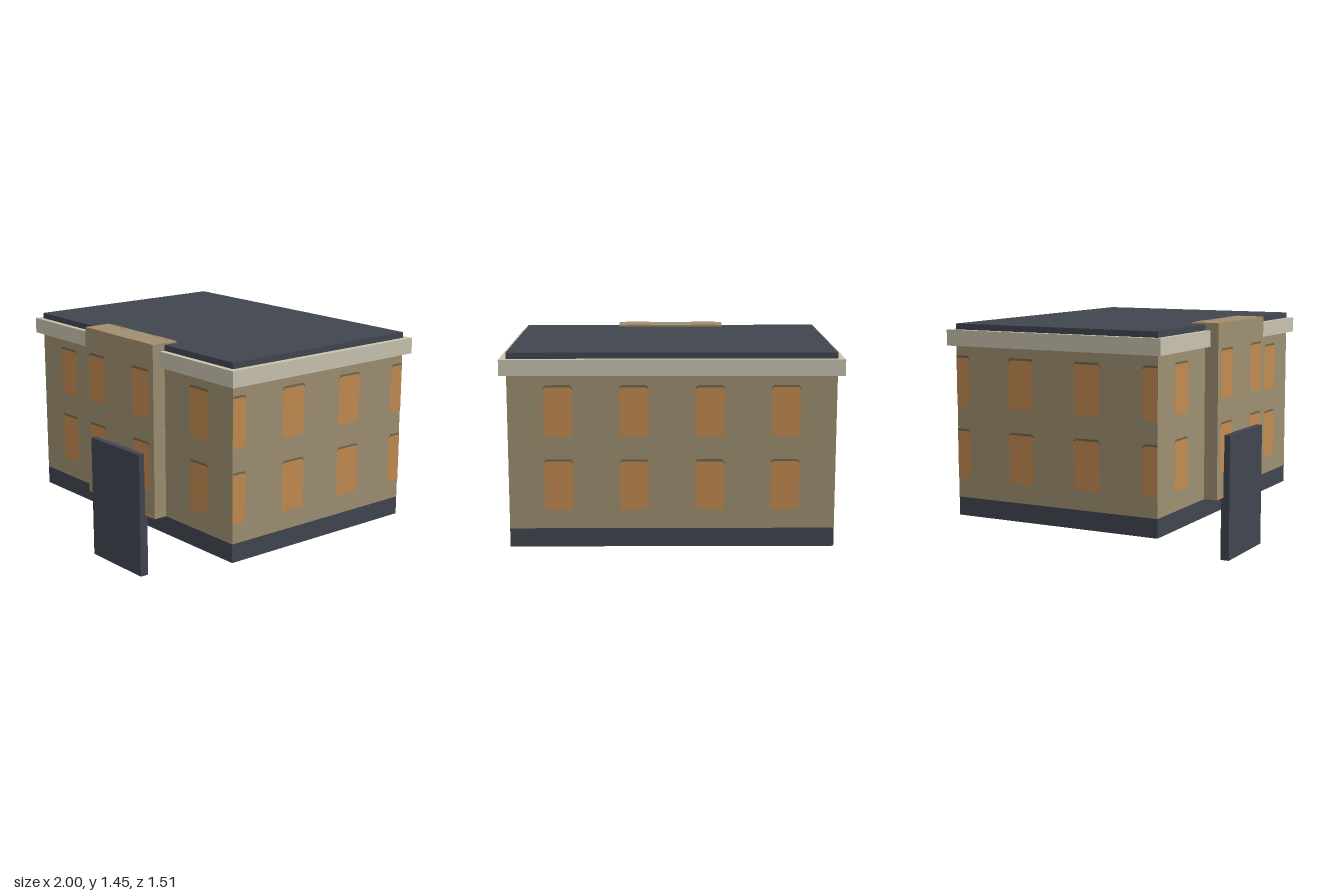
import * as THREE from 'three';

const mat = (name, color) => {
  const m = new THREE.MeshStandardMaterial({ color });
  m.name = name;
  return m;
};

export function createModel() {
  const stone = mat('tanWall', 0x9d8f71);
  const slate = mat('slate', 0x40454f);
  const trim = mat('paleTrim', 0xc8c2ae);
  const glow = mat('amberWindow', 0xc38a50);
  const shade = mat('windowHead', 0x73674c);

  const model = new THREE.Group();
  model.name = 'building';

  // Box given by its lower and upper limits on each axis
  function box(name, material, [x0, x1], [y0, y1], [z0, z1], parent = model) {
    const mesh = new THREE.Mesh(new THREE.BoxGeometry(x1 - x0, y1 - y0, z1 - z0), material);
    mesh.position.set((x0 + x1) / 2, (y0 + y1) / 2, (z0 + z1) / 2);
    mesh.name = name;
    parent.add(mesh);
  }

  const W = 0.96, BACK = -0.715, FRONT = 0.63, PORCH = 0.715;
  box('plinth', slate, [-W, W], [0.275, 0.387], [BACK, FRONT]);
  box('walls', stone, [-W, W], [0.387, 1.305], [BACK, FRONT]);
  box('cornice', trim, [-1, 1], [1.305, 1.4], [-0.755, 0.665]);
  box('roof', slate, [-W, W], [1.4, 1.435], [BACK, FRONT]);
  box('entranceBay', stone, [-0.345, 0.345], [0.387, 1.445], [0.54, PORCH]);
  box('door', slate, [-0.25, 0.25], [0, 0.77], [0.7, 0.755]);

  // Flat window with clipped corners; u runs along the wall, cut to [lo, hi]
  const HALF = 0.084, CUT = 0.012, HEIGHT = 0.29, HEAD = 0.013;
  function windowShapes(u, lo, hi) {
    const a = Math.max(u - HALF, lo), b = Math.min(u + HALF, hi);
    const ca = a > u - HALF ? 0 : CUT, cb = b < u + HALF ? 0 : CUT;
    const pane = new THREE.Shape([
      [a + ca, 0], [b - cb, 0], [b, cb], [b, HEIGHT - cb],
      [b - cb, HEIGHT], [a + ca, HEIGHT], [a, HEIGHT - ca], [a, ca],
    ].map(([x, y]) => new THREE.Vector2(x, y)));
    const head = new THREE.Shape([
      [a, HEIGHT - ca], [a + ca, HEIGHT], [b - cb, HEIGHT], [b, HEIGHT - cb],
      [b, HEIGHT], [b - cb, HEIGHT + HEAD], [a + ca, HEIGHT + HEAD], [a, HEIGHT],
    ].map(([x, y]) => new THREE.Vector2(x, y)));
    return [pane, head];
  }

  // Two storeys of windows on one wall
  function windowWall(name, centres, rows, lo, hi, turn, distance) {
    const wall = new THREE.Group();
    wall.name = name;
    for (const y of rows) for (const u of centres) {
      const [pane, head] = windowShapes(u, lo, hi);
      [[pane, glow, 'window'], [head, shade, 'windowHead']].forEach(([shape, material, label]) => {
        const mesh = new THREE.Mesh(new THREE.ShapeGeometry(shape), material);
        mesh.position.set(0, y, distance + 0.003);
        mesh.name = label;
        wall.add(mesh);
      });
    }
    wall.rotation.y = turn;
    model.add(wall);
  }

  const rows = [0.503, 0.943];
  const sideZ = [0.622, 0.179, -0.264, -0.707];
  windowWall('frontWindows', [-0.665, 0.665], rows, -W, W, 0, FRONT);
  windowWall('bayWindows', [-0.222, 0.222], [0.55, 0.99], -0.345, 0.345, 0, PORCH);
  windowWall('backWindows', [-0.665, -0.222, 0.222, 0.665], rows, -W, W, Math.PI, -BACK);
  windowWall('leftWindows', sideZ.map((z) => -z), rows, -FRONT, -BACK, Math.PI / 2, W);
  windowWall('rightWindows', sideZ, rows, BACK, FRONT, -Math.PI / 2, W);

  // Narrow amber bands along the bay's top and bottom edges
  for (const s of [-1, 1]) {
    const span = [s * 0.222 - 0.08, s * 0.222 + 0.08];
    box('bayTopBand', glow, span, [1.44, 1.447], [0.541, 0.553]);
    box('bayTopBand', glow, span, [1.44, 1.447], [0.705, 0.716]);
    box('bayBottomBand', glow, span, [0.388, 0.399], [0.71, 0.717]);
  }
  return model;
}
